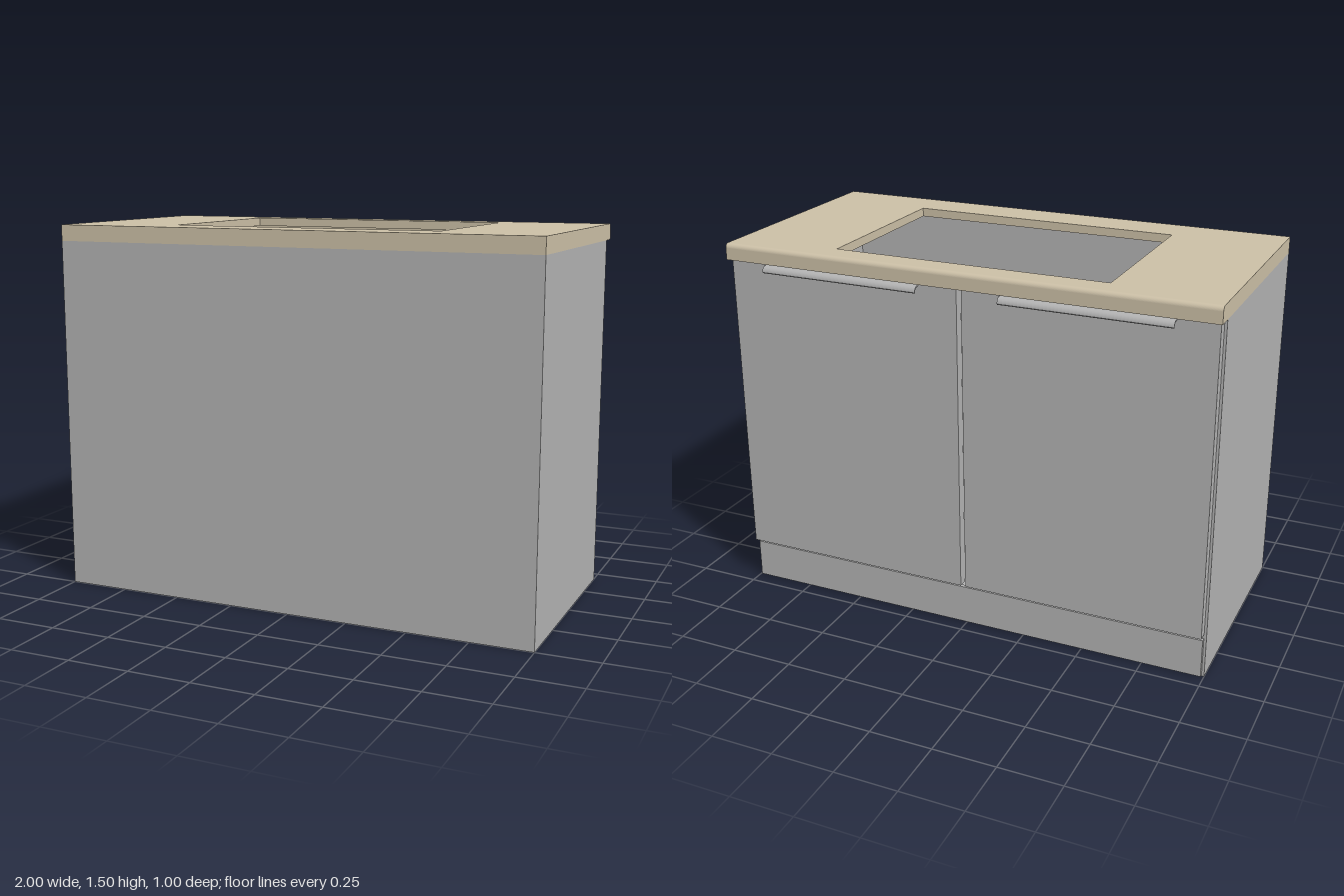
import * as THREE from 'three';

const grey = new THREE.MeshStandardMaterial({ color: 0xb2b2b2 });
grey.name = 'cabinetGrey';
const tan = new THREE.MeshStandardMaterial({ color: 0xcbbfa6 });
tan.name = 'worktopTan';

// Box given by its limits on each axis
function box(name, material, [x0, x1], [y0, y1], [z0, z1]) {
  const mesh = new THREE.Mesh(new THREE.BoxGeometry(x1 - x0, y1 - y0, z1 - z0), material);
  mesh.position.set((x0 + x1) / 2, (y0 + y1) / 2, (z0 + z1) / 2);
  mesh.name = name;
  return mesh;
}

// Rectangle path in x and -z, so that extrusion runs upward once tipped over
function rectangle(path, halfX, zBack, zFront) {
  path.moveTo(-halfX, -zFront);
  path.lineTo(halfX, -zFront);
  path.lineTo(halfX, -zBack);
  path.lineTo(-halfX, -zBack);
  path.closePath();
  return path;
}

// Flat slab with a rectangular opening
function slab(name, y0, y1, zBack, hole) {
  const shape = rectangle(new THREE.Shape(), 1, zBack, 0.5);
  shape.holes.push(rectangle(new THREE.Path(), ...hole));
  const geometry = new THREE.ExtrudeGeometry(shape, { depth: y1 - y0, bevelEnabled: false });
  geometry.rotateX(-Math.PI / 2);
  const mesh = new THREE.Mesh(geometry, tan);
  mesh.position.y = y0;
  mesh.name = name;
  return mesh;
}

// Profile drawn in (-z, y) and extruded along x from x0 to x1
function alongX(name, material, shape, x0, x1) {
  const geometry = new THREE.ExtrudeGeometry(shape, { depth: x1 - x0, bevelEnabled: false, curveSegments: 10 });
  geometry.rotateY(Math.PI / 2);
  const mesh = new THREE.Mesh(geometry, material);
  mesh.position.x = x0;
  mesh.name = name;
  return mesh;
}

export function createModel() {
  const model = new THREE.Group();
  model.name = 'sinkCabinet';

  // Open carcass
  const carcass = new THREE.Group();
  carcass.name = 'carcass';
  carcass.add(
    box('sidePanelLeft', grey, [0.96, 1], [0, 1.435], [-0.43, 0.5]),
    box('sidePanelRight', grey, [-1, -0.96], [0, 1.435], [-0.43, 0.5]),
    box('bottomPanel', grey, [-0.96, 0.96], [0, 0.04], [-0.43, 0.49]),
    box('rearPanel', grey, [-0.96, 0.96], [0, 1.435], [0.49, 0.5]),
    box('plinth', grey, [-0.99, 0.99], [0.006, 0.166], [-0.446, -0.43])
  );
  model.add(carcass);

  // Worktop with sink cut-out and a rounded nose over the doors
  const worktop = new THREE.Group();
  worktop.name = 'worktop';
  worktop.add(
    slab('worktopTop', 1.465, 1.5, -0.47, [0.56, -0.387, 0.337]),
    slab('worktopUnderframe', 1.435, 1.465, -0.47, [0.96, -0.43, 0.49])
  );
  const nose = new THREE.Shape();
  nose.moveTo(0.47, 1.435);
  nose.lineTo(0.495, 1.435);
  nose.lineTo(0.495, 1.482);
  nose.absarc(0.477, 1.482, 0.018, 0, Math.PI / 2, false);
  nose.lineTo(0.47, 1.5);
  nose.closePath();
  worktop.add(alongX('worktopNose', tan, nose, -1, 1));
  model.add(worktop);

  // Curled edge pull profile
  const pull = new THREE.Shape();
  pull.moveTo(0.468, 1.422);
  pull.lineTo(0.468, 1.427);
  pull.lineTo(0.477, 1.427);
  pull.absarc(0.477, 1.404, 0.023, Math.PI / 2, 0, true);
  pull.lineTo(0.496, 1.4);
  pull.absarc(0.477, 1.404, 0.018, 0, Math.PI / 2, false);
  pull.closePath();

  // Pair of doors with their pulls
  for (const side of [-1, 1]) {
    const door = new THREE.Group();
    door.name = side > 0 ? 'doorLeft' : 'doorRight';
    const x = side * 0.5;
    door.add(
      box('doorPanel', grey, [x - 0.49, x + 0.49], [0.185, 1.427], [-0.47, -0.43]),
      alongX('handle', grey, pull, x - 0.333, x + 0.333)
    );
    model.add(door);
  }

  return model;
}
